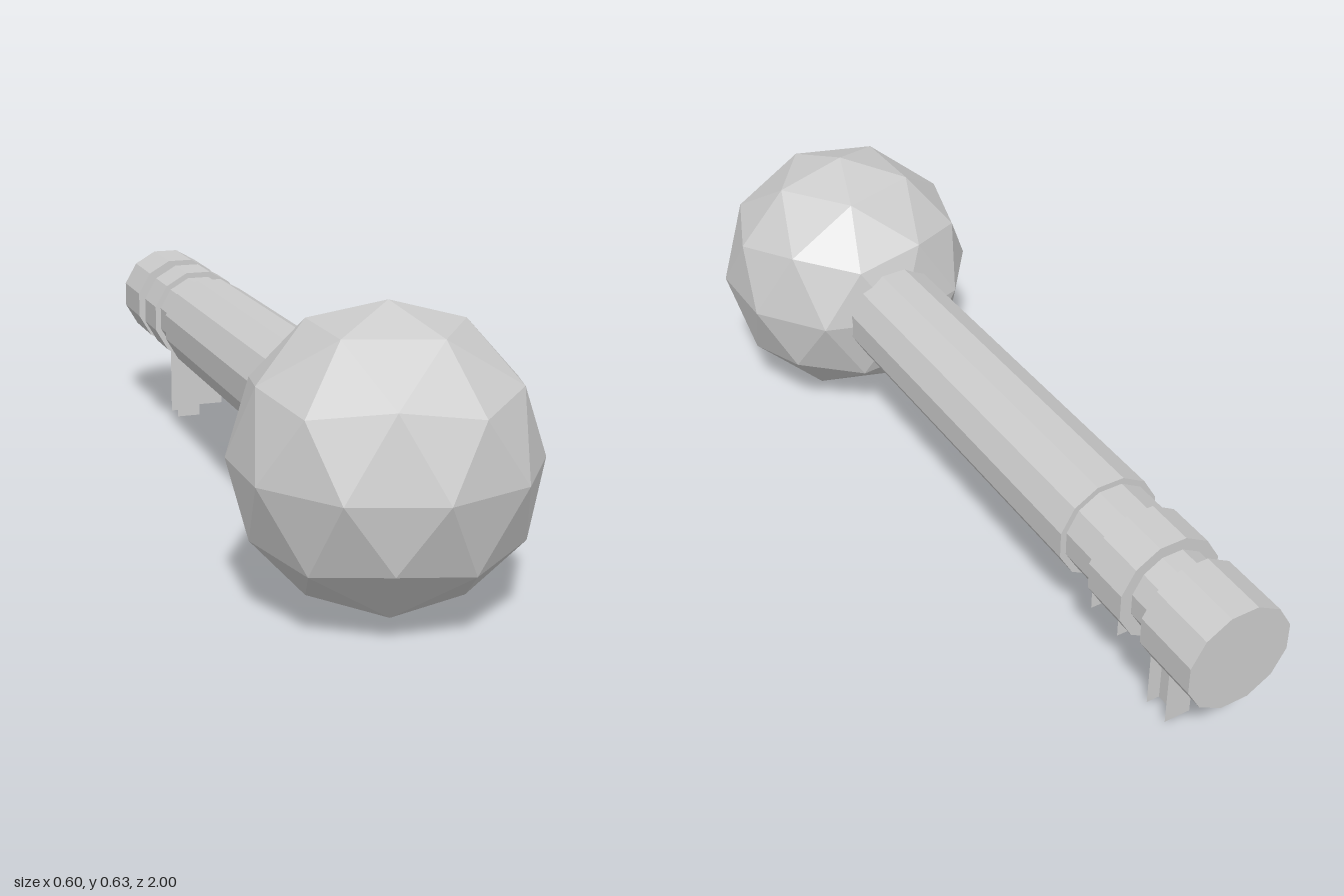
import * as THREE from 'three';

const AXIS_Y = 0.32;

export function createModel() {
  const group = new THREE.Group();
  const grey = new THREE.MeshStandardMaterial({ color: 0xcccccc, flatShading: true });
  const thin = new THREE.MeshStandardMaterial({ color: 0xcccccc, flatShading: true, side: THREE.DoubleSide });

  const add = (name, geometry, material, parent = group) => {
    const mesh = new THREE.Mesh(geometry, material);
    mesh.name = name;
    parent.add(mesh);
    return mesh;
  };

  // Faceted ball handle, turned so one corner points straight up
  const ball = new THREE.IcosahedronGeometry(0.3175, 1);
  ball.rotateZ(-Math.atan(2 / (1 + Math.sqrt(5))));
  add('ballHandle', ball, grey).position.set(0, AXIS_Y - 0.001, 0.6825);

  // Twelve-sided shaft with two grooves, as [flat radius, z] from back to front
  const flat = 1 / Math.cos(Math.PI / 12);
  const profile = [
    [0, -1], [0.12, -1], [0.12, -0.84], [0.093, -0.84], [0.093, -0.77], [0.12, -0.77],
    [0.12, -0.655], [0.106, -0.655], [0.106, -0.55], [0.12, -0.55], [0.12, 0.45], [0, 0.45],
  ].map(([r, z]) => new THREE.Vector2(r * flat, z));
  const shaft = new THREE.LatheGeometry(profile, 12, Math.PI / 12);
  shaft.rotateX(Math.PI / 2);
  add('shaft', shaft, grey).position.y = AXIS_Y;

  // Key teeth hanging from the grooves: two thin plates joined by a central web
  const teeth = [
    { name: 'shortTooth', back: -0.65, front: -0.55, bottom: 0.1 },
    { name: 'longTooth', back: -0.835, front: -0.77, bottom: 0.005 },
  ];
  for (const { name, back, front, bottom } of teeth) {
    const tooth = new THREE.Group();
    tooth.name = name;
    group.add(tooth);
    const height = 0.26 - bottom;
    const midY = bottom + height / 2;
    for (const z of [back, front]) {
      add('toothPlate', new THREE.PlaneGeometry(0.064, height), thin, tooth).position.set(0, midY, z);
    }
    const web = add('toothWeb', new THREE.PlaneGeometry(front - back, height), thin, tooth);
    web.rotation.y = Math.PI / 2;
    web.position.set(0, midY, (back + front) / 2);
  }

  return group;
}
